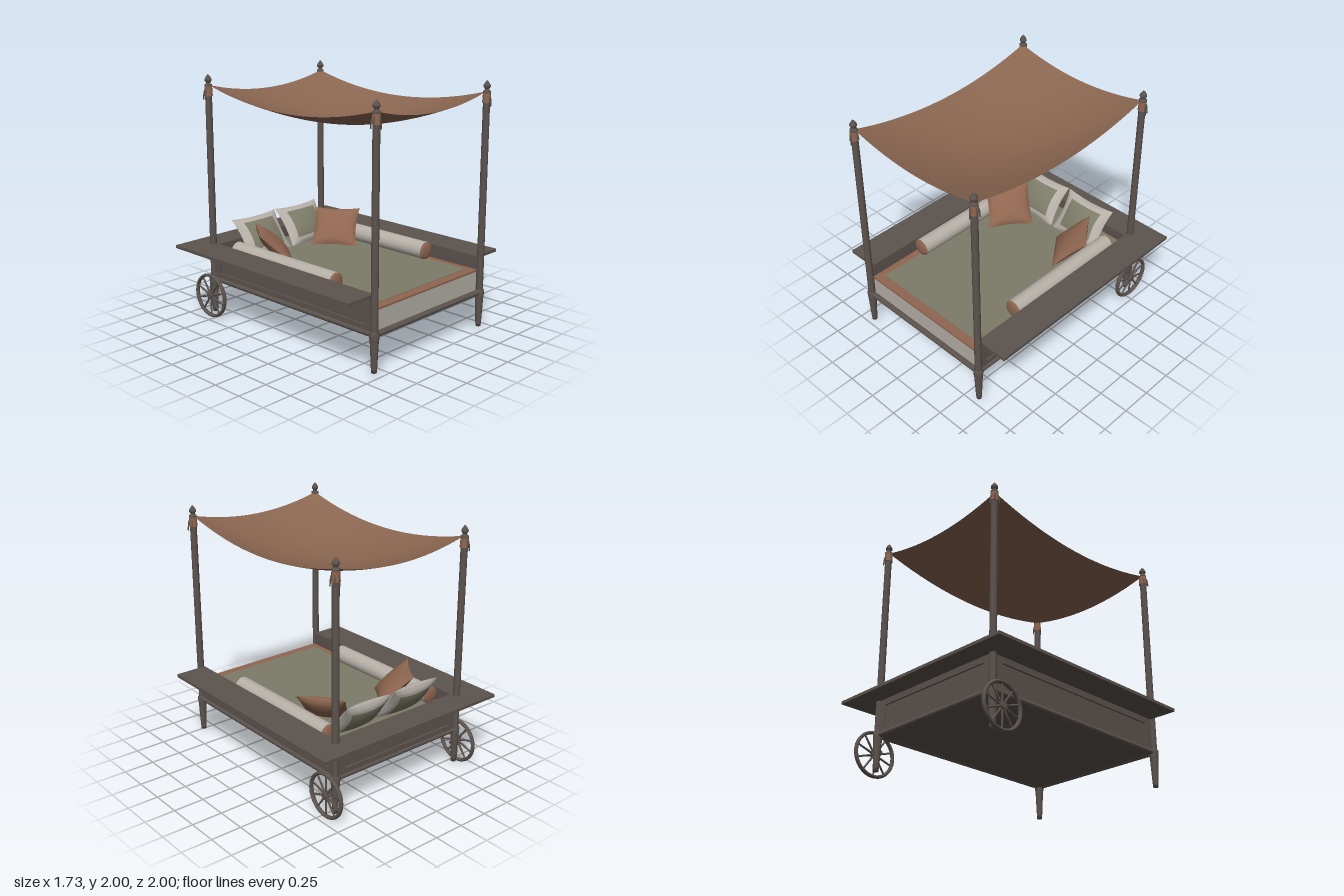
import * as THREE from 'three';

const mat = (name, color, extra = {}) => {
  const m = new THREE.MeshStandardMaterial({ color, ...extra });
  m.name = name;
  return m;
};

export function createModel() {
  const wood = mat('dark wood', 0x5c534e);
  const copper = mat('copper fabric', 0x8f6650);
  const canopyCloth = mat('canopy fabric', 0x8a6650, { side: THREE.DoubleSide });
  const linen = mat('pale linen', 0xb6b0a8);
  const sage = mat('sage fabric', 0x7d7c69);

  const model = new THREE.Group();
  model.name = 'canopyDaybed';
  const add = (name, geo, m, x = 0, y = 0, z = 0, parent = model) => {
    const mesh = new THREE.Mesh(geo, m);
    mesh.name = name;
    mesh.position.set(x, y, z);
    parent.add(mesh);
    return mesh;
  };
  const box = (name, m, x0, x1, y0, y1, z0, z1) =>
    add(name, new THREE.BoxGeometry(x1 - x0, y1 - y0, z1 - z0), m, (x0 + x1) / 2, (y0 + y1) / 2, (z0 + z1) / 2);

  const PX = 0.622, ZF = 0.955, ZB = -0.818;

  // Turned posts with tapered feet, collars and finials
  const lathe = pts => new THREE.LatheGeometry(pts.map(p => new THREE.Vector2(...p)), 20);
  const foot = lathe([[0, 0.03], [0.02, 0.03], [0.023, 0.06], [0.032, 0.25], [0.034, 0.28], [0.036, 0.285],
    [0.037, 0.33], [0.028, 0.34]]);
  const shaft = new THREE.CylinderGeometry(0.027, 0.028, 1.57, 20);
  const finial = lathe([[0.027, 1.9], [0.03, 1.905], [0.03, 1.918], [0.016, 1.927], [0.018, 1.938],
    [0.027, 1.948], [0.028, 1.96], [0.018, 1.978], [0.008, 1.992], [0, 2.0]]);
  const wrap = new THREE.CylinderGeometry(0.03, 0.034, 0.075, 16, 1);
  for (const s of [-1, 1]) for (const z of [ZF, ZB]) {
    const post = new THREE.Group();
    post.name = 'post';
    post.position.set(s * PX, 0, z);
    model.add(post);
    add('foot', foot, wood, 0, 0, 0, post);
    add('shaft', shaft, wood, 0, 1.12, 0, post);
    add('finial', finial, wood, 0, 0, 0, post);
    add('canopyTie', wrap, copper, 0, 1.867, 0, post);
    // Loose ends of the tie
    for (const [dx, dz] of [[0.042, 0.01], [0.03, -0.022], [-0.004, z > 0 ? 0.035 : -0.035]]) {
      const cord = new THREE.CatmullRomCurve3([
        new THREE.Vector3(s * dx * 0.5, 1.9, dz * 0.5),
        new THREE.Vector3(s * dx * 0.85, 1.86, dz),
        new THREE.Vector3(s * dx, 1.8, dz * 1.1)]);
      add('tieCord', new THREE.TubeGeometry(cord, 8, 0.005, 6), wood, 0, 0, 0, post);
    }
  }

  // Lower rails and floor
  const rail = (name, len, x, z, alongX) => {
    const r = add(name, new THREE.CylinderGeometry(0.021, 0.021, len, 16), wood, x, 0.315, z);
    if (alongX) r.rotation.z = Math.PI / 2; else r.rotation.x = Math.PI / 2;
  };
  rail('frontRail', 1.31, 0, ZF, true);
  rail('backRail', 1.25, 0, ZB, true);
  for (const s of [-1, 1]) rail('sideRail', ZF - ZB, s * PX, (ZF + ZB) / 2, false);
  box('floor', wood, -0.61, 0.61, 0.305, 0.335, ZB, ZF);

  // Framed panels: a pierced border in front of a recessed board
  const panel = (name, len, x, z, ry) => {
    const h = len / 2;
    const shape = new THREE.Shape([[-h, 0.325], [h, 0.325], [h, 0.595], [-h, 0.595]].map(p => new THREE.Vector2(...p)));
    const e = h - 0.07;
    shape.holes.push(new THREE.Path([[-e, 0.375], [-e, 0.54], [e, 0.54], [e, 0.375]].map(p => new THREE.Vector2(...p))));
    const g = new THREE.Group();
    g.name = name;
    g.position.set(x, 0, z);
    g.rotation.y = ry;
    model.add(g);
    add('frame', new THREE.ExtrudeGeometry(shape, { depth: 0.015, bevelEnabled: false }), wood, 0, 0, 0, g);
    add('board', new THREE.BoxGeometry(len, 0.27, 0.012), wood, 0, 0.46, -0.006, g);
  };
  const midZ = (ZF + ZB) / 2;
  panel('leftPanel', ZF - ZB - 0.03, 0.612, midZ, Math.PI / 2);
  panel('rightPanel', ZF - ZB - 0.03, -0.612, midZ, -Math.PI / 2);
  panel('backPanel', 1.22, 0, ZB + 0.005, Math.PI);

  // U-shaped shelf around three sides (shape y becomes -z)
  const shelf = new THREE.Shape([[-0.867, -0.93], [-0.6, -0.93], [-0.6, 0.77], [0.6, 0.77], [0.6, -0.93],
    [0.867, -0.93], [0.867, 1], [-0.867, 1]].map(p => new THREE.Vector2(...p)));
  const shelfGeo = new THREE.ExtrudeGeometry(shelf, { depth: 0.024, bevelEnabled: false });
  shelfGeo.rotateX(-Math.PI / 2);
  add('shelf', shelfGeo, wood, 0, 0.589, 0);

  // Spoked wheels
  const rim = new THREE.TorusGeometry(0.172, 0.0135, 10, 48);
  rim.scale(1, 1, 1.3);
  const hub = new THREE.CylinderGeometry(0.026, 0.026, 0.045, 20).rotateX(Math.PI / 2);
  const axle = new THREE.CylinderGeometry(0.014, 0.014, 0.08, 12).rotateX(Math.PI / 2);
  const spoke = new THREE.CylinderGeometry(0.007, 0.009, 0.15, 8).translate(0, 0.093, 0);
  for (const s of [-1, 1]) {
    const wheel = new THREE.Group();
    wheel.name = 'wheel';
    wheel.position.set(s * 0.687, 0.186, -0.79);
    wheel.rotation.y = s * Math.PI / 2;
    model.add(wheel);
    add('rim', rim, wood, 0, 0, 0, wheel);
    add('hub', hub, wood, 0, 0, 0, wheel);
    add('axle', axle, wood, 0, 0, -0.04, wheel);
    for (let i = 0; i < 10; i++) add('spoke', spoke, wood, 0, 0, 0, wheel).rotation.z = i * Math.PI / 5;
  }

  // Mattress with copper edging and a sage cover
  box('mattress', linen, -0.592, 0.592, 0.335, 0.492, -0.79, 0.94);
  box('mattressEdging', copper, -0.594, 0.594, 0.49, 0.505, -0.79, 0.944);
  box('mattressCover', sage, -0.535, 0.535, 0.503, 0.509, -0.78, 0.87);

  // Side bolsters with copper ends
  const bolster = new THREE.CylinderGeometry(0.072, 0.072, 1.1, 28, 1, true).rotateX(Math.PI / 2);
  const cap = new THREE.SphereGeometry(0.072, 28, 8, 0, Math.PI * 2, 0, Math.PI / 2);
  cap.scale(1, 0.3, 1).rotateX(Math.PI / 2);
  for (const s of [-1, 1]) {
    add('bolster', bolster, linen, s * 0.525, 0.575, -0.07);
    add('bolsterEnd', cap, copper, s * 0.525, 0.575, 0.48);
    add('bolsterEnd', cap, copper, s * 0.525, 0.575, -0.62).rotation.y = Math.PI;
  }

  // Pillow: two bulged faces, with a border and a centre patch as groups
  const N = 20;
  const pillowFace = (w, h, t) => {
    const g = new THREE.PlaneGeometry(2, 2, N, N);
    const p = g.attributes.position;
    for (let i = 0; i < p.count; i++) {
      const u = p.getX(i), v = p.getY(i);
      const bulge = Math.pow(Math.max(0, (1 - u * u) * (1 - v * v)), 0.55);
      p.setXYZ(i, u * w * (1 - 0.09 * (1 - v * v)), v * h * (1 - 0.09 * (1 - u * u)), t * bulge);
    }
    const border = [], centre = [], idx = g.index.array;
    for (let c = 0; c < N * N; c++) {
      const a = Math.abs((c % N) + 0.5 - N / 2), b = Math.abs(Math.floor(c / N) + 0.5 - N / 2);
      (Math.max(a, b) < N * 0.33 ? centre : border).push(...idx.slice(c * 6, c * 6 + 6));
    }
    g.setIndex([...border, ...centre]);
    g.addGroup(0, border.length, 0);
    g.addGroup(border.length, centre.length, 1);
    g.computeVertexNormals();
    return g;
  };
  const pillow = (name, w, h, t, mats, pos, xDir, yDir) => {
    const X = new THREE.Vector3(...xDir).normalize(), Y = new THREE.Vector3(...yDir).normalize();
    const Z = new THREE.Vector3().crossVectors(X, Y);
    const g = new THREE.Group();
    g.name = name;
    g.quaternion.setFromRotationMatrix(new THREE.Matrix4().makeBasis(X, Y, Z));
    g.position.set(...pos);
    model.add(g);
    const face = pillowFace(w, h, t);
    add('pillowFront', face, mats, 0, 0, 0, g);
    add('pillowBack', face, mats, 0, 0, 0, g).rotation.y = Math.PI;
  };
  for (const s of [-1, 1]) {
    pillow('backPillow', 0.235, 0.185, 0.065, [linen, sage], [s * 0.24, 0.645, -0.645], [1, 0, 0], [0, 0.27, -0.2]);
    pillow('cornerPillow', 0.193, 0.19, 0.06, [copper, copper], [s * 0.355, 0.642, -0.375],
      [s * 0.23, 0, 0.31], [s * 0.22, 0.26, -0.163]);
  }

  // Sagging canopy hung from the four posts
  const canopy = new THREE.PlaneGeometry(2, 2, 28, 36).rotateX(-Math.PI / 2);
  const cp = canopy.attributes.position;
  for (let i = 0; i < cp.count; i++) {
    const u = cp.getX(i), v = cp.getZ(i), a = 1 - u * u, b = 1 - v * v;
    cp.setXYZ(i, u * 0.622 * (1 - 0.006 * b), 1.915 - 0.085 * a - 0.125 * b - 0.045 * a * b, 0.07 + v * 0.882);
  }
  canopy.computeVertexNormals();
  add('canopy', canopy, canopyCloth);

  return model;
}
